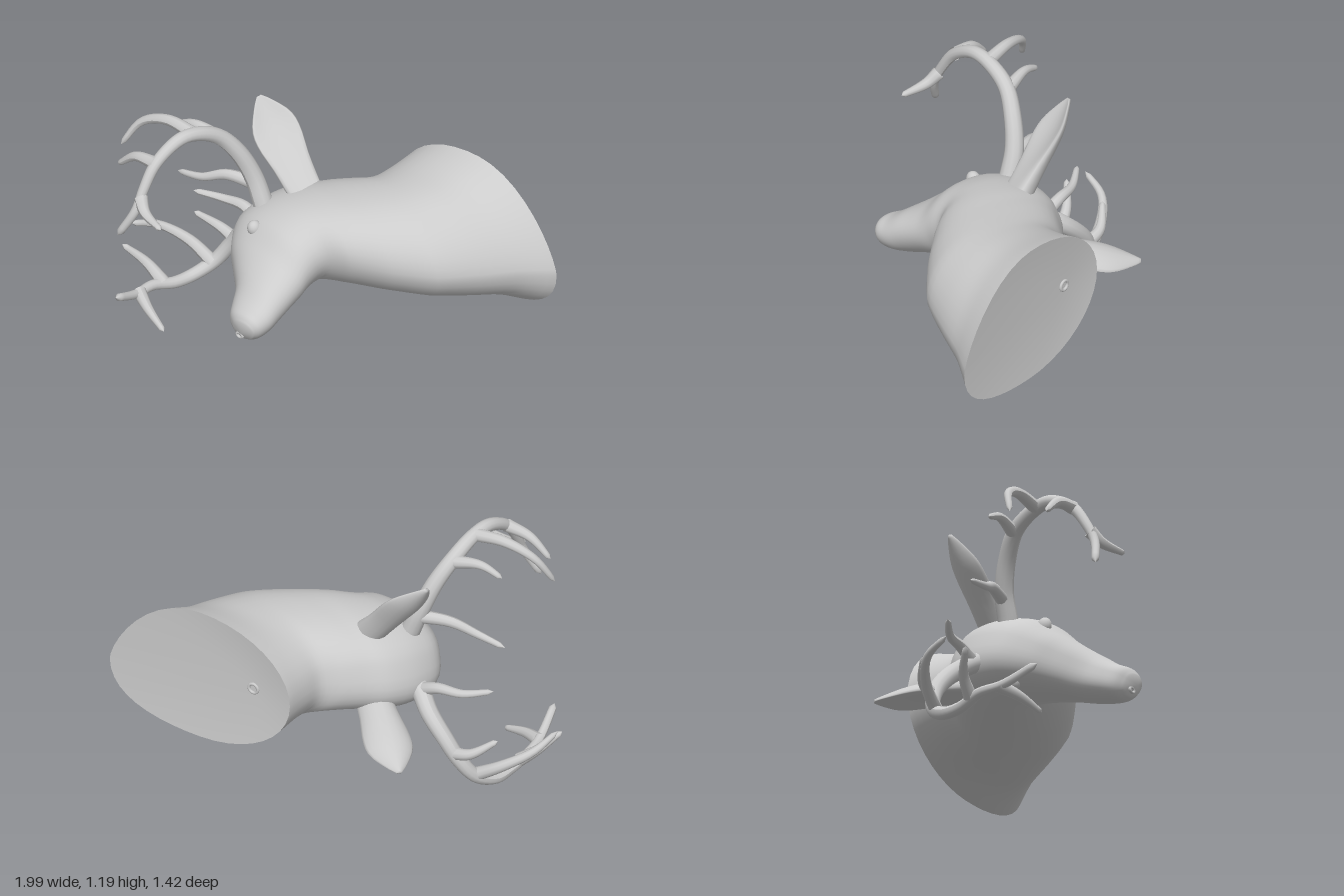
import * as THREE from 'three';

const material = new THREE.MeshStandardMaterial({ color: 0xcccccc, side: THREE.DoubleSide });
const vec = (p) => new THREE.Vector3(...p);

function addMesh(parent, name, geometry) {
  const mesh = new THREE.Mesh(geometry, material);
  mesh.name = name;
  parent.add(mesh);
  return mesh;
}

// Skin over a list of rings with equal point counts, closed at the far end by an end point.
function loft(rings, endPoint) {
  const n = rings[0].length;
  const positions = [...rings.flat(), endPoint].flatMap((p) => p.toArray());
  const index = [];
  for (let i = 0; i < rings.length; i++) {
    for (let j = 0; j < n; j++) {
      const k = (j + 1) % n, a = i * n + j, b = i * n + k;
      if (i < rings.length - 1) index.push(a, b, a + n, b, b + n, a + n);
      else index.push(a, b, rings.length * n);
    }
  }
  const geometry = new THREE.BufferGeometry();
  geometry.setAttribute('position', new THREE.Float32BufferAttribute(positions, 3));
  geometry.setIndex(index);
  geometry.computeVertexNormals();
  return geometry;
}

// Tube whose radius runs from r0 to r1, closed at the tip.
function taperedTube(points, r0, r1, steps = 16, sides = 10) {
  const curve = new THREE.CatmullRomCurve3(points.map(vec));
  const geometry = new THREE.TubeGeometry(curve, steps, 1, sides);
  const pos = geometry.attributes.position, v = new THREE.Vector3();
  for (let i = 0; i <= steps; i++) {
    const c = curve.getPointAt(i / steps);
    const r = i === steps ? 0.001 : THREE.MathUtils.lerp(r0, r1, i / steps);
    for (let j = 0; j <= sides; j++) {
      const k = i * (sides + 1) + j;
      v.fromBufferAttribute(pos, k).sub(c).multiplyScalar(r).add(c);
      pos.setXYZ(k, v.x, v.y, v.z);
    }
  }
  geometry.computeVertexNormals();
  return geometry;
}

// Cross-sections from shoulder to muzzle: crown side x, z; throat side x, z; low y, high y
const SECTIONS = [
  [-0.02, -0.71, 0.99, -0.71, 0.23, 0.95],
  [-0.03, -0.57, 0.88, -0.57, 0.285, 0.89],
  [-0.05, -0.47, 0.78, -0.40, 0.31, 0.86],
  [-0.13, -0.41, 0.67, -0.23, 0.33, 0.84],
  [-0.22, -0.33, 0.50, -0.10, 0.34, 0.82],
  [-0.31, -0.24, 0.32, 0.00, 0.34, 0.80],
  [-0.37, -0.10, 0.20, 0.05, 0.33, 0.77],
  [-0.38, 0.05, 0.18, 0.13, 0.32, 0.72],
  [-0.31, 0.17, 0.18, 0.20, 0.32, 0.64],
  [-0.22, 0.25, 0.18, 0.27, 0.315, 0.585],
  [-0.12, 0.34, 0.18, 0.35, 0.30, 0.53],
  [-0.07, 0.42, 0.18, 0.42, 0.29, 0.48],
  [-0.03, 0.475, 0.17, 0.475, 0.29, 0.455],
  [0.02, 0.505, 0.145, 0.505, 0.31, 0.42],
];

function bodyRings() {
  const spline = (k) => new THREE.CatmullRomCurve3(SECTIONS.map((s) => vec(s.slice(k, k + 3))));
  const first = spline(0), second = spline(3);
  const rings = [], steps = 52, sides = 40;
  for (let i = 0; i <= steps; i++) {
    const t = i / steps;
    const p = first.getPoint(t), q = second.getPoint(t);
    const [lx, lz, rx, rz, lo, hi] = [...p.toArray(), ...q.toArray()];
    const center = new THREE.Vector3((lx + rx) / 2, (lo + hi) / 2, (lz + rz) / 2);
    const across = new THREE.Vector3((rx - lx) / 2, 0, (rz - lz) / 2);
    const h = (hi - lo) / 2, tilt = 0.3 * Math.min(1, t * 2.2);
    const up = new THREE.Vector3(tilt * h, h, tilt * h);
    const shoulder = Math.max(0, 1 - t * 2.5), full = Math.min(1, t * 3.5);
    rings.push(Array.from({ length: sides }, (_, j) => {
      const a = (j / sides) * Math.PI * 2, c = Math.cos(a), s = Math.sin(a);
      // The nape side is squarer; the chest side narrows to a lowered point
      let power = 1;
      if (c < 0) power = 1 - full * (s > 0 ? 0.35 : 0.12);
      else if (s > 0) power = 1 + 0.35 * shoulder;
      const point = center.clone().addScaledVector(across, c)
        .addScaledVector(up, Math.sign(s) * Math.abs(s) ** power);
      if (c > 0) point.y -= 0.09 * shoulder * c * c;
      return point;
    }));
  }
  return rings;
}

// Leaf-shaped cupped ear from base to tip; the hollow faces along "open".
function ear(base, tip, wide, open) {
  const a = vec(base), b = vec(tip);
  const w = vec(wide).normalize(), n = vec(open).normalize();
  const width = new THREE.SplineCurve([[-0.1, 0.085], [0.2, 0.095], [0.5, 0.115], [0.7, 0.105],
    [0.9, 0.05], [1, 0.012]].map((p) => new THREE.Vector2(...p)));
  const rings = [];
  for (let i = 0; i <= 14; i++) {
    const { x: t, y: half } = width.getPoint(i / 14);
    const thick = 0.045 * (1 - t) + 0.008;
    rings.push(Array.from({ length: 20 }, (_, j) => {
      const c = Math.cos(j * Math.PI / 10), s = Math.sin(j * Math.PI / 10);
      return a.clone().lerp(b, t).addScaledVector(w, half * c)
        .addScaledVector(n, thick * s + 0.35 * half * (c * c - 0.6));
    }));
  }
  return loft(rings, b);
}

// Each antler: one curved beam, then the tines that leave it
const ANTLERS = {
  leftAntler: {
    beam: [[-0.25, 0.7, 0.01], [-0.3, 0.83, 0.02], [-0.35, 0.97, 0.07], [-0.4, 1.08, 0.15], [-0.43, 1.145, 0.27],
      [-0.45, 1.155, 0.38], [-0.47, 1.08, 0.52], [-0.475, 0.97, 0.6], [-0.48, 0.87, 0.65], [-0.55, 0.72, 0.7]],
    tines: [
      [[-0.475, 0.93, 0.62], [-0.42, 0.885, 0.65], [-0.28, 0.87, 0.69]],
      [[-0.47, 1.08, 0.52], [-0.6, 1.06, 0.52], [-0.71, 0.97, 0.525]],
      [[-0.43, 1.15, 0.29], [-0.6, 1.16, 0.3], [-0.74, 1.1, 0.33], [-0.82, 0.96, 0.39]],
      [[-0.4, 1.07, 0.14], [-0.55, 1.09, 0.16], [-0.66, 1.05, 0.17]],
      [[-0.29, 0.79, 0.01], [-0.45, 0.79, 0.05], [-0.57, 0.74, 0.09], [-0.72, 0.71, 0.1]],
    ],
  },
  rightAntler: {
    beam: [[-0.28, 0.5, -0.05], [-0.37, 0.46, -0.1], [-0.46, 0.39, -0.16], [-0.56, 0.29, -0.18], [-0.63, 0.19, -0.17],
      [-0.69, 0.09, -0.12], [-0.74, 0.035, -0.02], [-0.76, 0.035, 0.08], [-0.79, 0.065, 0.2], [-0.78, 0.08, 0.32],
      [-0.75, 0.16, 0.5]],
    tines: [
      [[-0.785, 0.08, 0.3], [-0.68, 0.055, 0.35], [-0.54, 0.01, 0.39]],
      [[-0.78, 0.06, 0.14], [-0.87, 0.14, 0.16], [-0.96, 0.235, 0.23]],
      [[-0.69, 0.09, -0.11], [-0.82, 0.17, -0.085], [-0.94, 0.245, 0.0], [-0.99, 0.3, 0.14]],
      [[-0.6, 0.22, -0.18], [-0.7, 0.25, -0.18], [-0.81, 0.325, -0.11]],
      [[-0.37, 0.46, -0.1], [-0.48, 0.51, -0.11], [-0.6, 0.51, -0.09], [-0.73, 0.53, -0.02]],
    ],
  },
};

export function createModel() {
  const model = new THREE.Group();
  model.name = 'mountedStagHead';

  // Neck and head as one continuous skin
  const rings = bodyRings();
  addMesh(model, 'neckAndHead', loft(rings, new THREE.Vector3(0.09, 0.365, 0.525)));

  // Slightly sunken mounting face with a small hanger
  addMesh(model, 'mountingFace', loft([[...rings[0]].reverse()], new THREE.Vector3(0.2, 0.6, -0.68)));
  const hanger = addMesh(model, 'hanger', new THREE.TorusGeometry(0.025, 0.008, 8, 16));
  hanger.position.set(0.2, 0.6, -0.685);

  // Eyes with heavy lids
  for (const [name, p, side] of [['leftEye', [-0.165, 0.67, 0.16], 1], ['rightEye', [-0.275, 0.36, 0.055], -1]]) {
    const eye = addMesh(model, name, new THREE.SphereGeometry(0.04, 16, 12));
    eye.position.set(...p);
    eye.scale.set(0.85, 1.05, 0.9);
    eye.rotation.x = 0.3 * side;
  }

  // Nostrils
  for (const [name, p] of [['leftNostril', [0.07, 0.395, 0.507]], ['rightNostril', [0.065, 0.335, 0.507]]]) {
    const nostril = addMesh(model, name, new THREE.TorusGeometry(0.018, 0.008, 8, 16));
    nostril.position.set(...p);
    nostril.scale.y = 0.7;
  }

  // Ears
  addMesh(model, 'leftEar', ear([-0.16, 0.79, -0.15], [-0.46, 1.12, -0.185], [-0.42, -0.36, 1], [0.62, 0.62, 0.48]));
  addMesh(model, 'rightEar', ear([-0.2, 0.42, -0.24], [-0.54, 0.31, -0.56], [0.7, 0, -0.7], [0.1, -1, -0.1]));

  // Antlers
  for (const [name, { beam, tines }] of Object.entries(ANTLERS)) {
    const antler = new THREE.Group();
    antler.name = name;
    addMesh(antler, 'beam', taperedTube(beam, 0.05, 0.018, 48, 12));
    tines.forEach((points, i) => addMesh(antler, `tine${i + 1}`, taperedTube(points, 0.034, 0.013)));
    model.add(antler);
  }
  return model;
}
